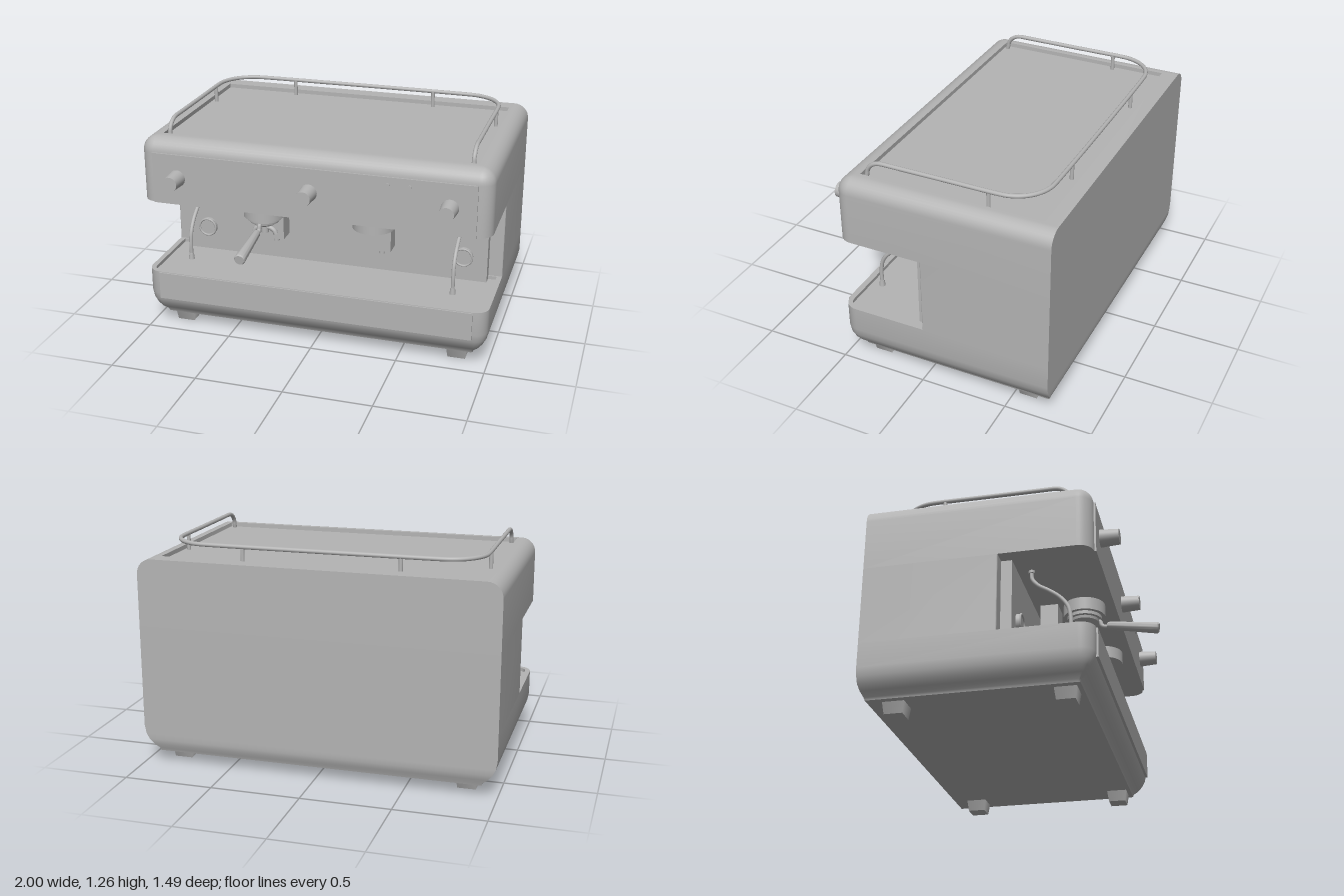
import * as THREE from 'three';
import { toCreasedNormals } from 'three/addons/utils/BufferGeometryUtils.js';

const steel = new THREE.MeshStandardMaterial({ color: 0xb4b4b4 });
steel.name = 'steel grey';

function add(parent, name, geometry, x = 0, y = 0, z = 0) {
  const mesh = new THREE.Mesh(geometry, steel);
  mesh.name = name;
  mesh.position.set(x, y, z);
  parent.add(mesh);
  return mesh;
}

// Box given by its limits
function block(parent, name, x0, x1, y0, y1, z0, z1) {
  return add(parent, name, new THREE.BoxGeometry(x1 - x0, y1 - y0, z1 - z0),
    (x0 + x1) / 2, (y0 + y1) / 2, (z0 + z1) / 2);
}

// Upright cylinder between two heights
function post(parent, name, x, z, y0, y1, r0, r1 = r0) {
  return add(parent, name, new THREE.CylinderGeometry(r1, r0, y1 - y0, 32), x, (y0 + y1) / 2, z);
}

// Cylinder lying along z
function dial(parent, name, x, y, z0, z1, r0, r1 = r0) {
  const g = new THREE.CylinderGeometry(r1, r0, z1 - z0, 40).rotateX(Math.PI / 2);
  return add(parent, name, g, x, y, (z0 + z1) / 2);
}

function tube(parent, name, points, radius, segments = 48) {
  const curve = new THREE.CatmullRomCurve3(points.map(p => new THREE.Vector3(...p)), false, 'centripetal');
  return add(parent, name, new THREE.TubeGeometry(curve, segments, radius, 12));
}

// Level outline: square back corners, rounded front corners
function ring(y, hw, zFront, zBack, r) {
  const pts = [[-hw, y, zBack]];
  for (const side of [-1, 1]) {
    for (let i = 0; i <= 8; i++) {
      const a = (side < 0 ? i : 8 - i) / 8 * Math.PI / 2;
      pts.push([side * (hw - r + r * Math.cos(a)), y, zFront - r + r * Math.sin(a)]);
    }
  }
  pts.push([hw, y, zBack]);
  return pts;
}

// Skin through stacked rings, closed at both ends
function loft(rings) {
  const pos = [];
  const n = rings[0].length;
  const tri = (a, b, c) => pos.push(...a, ...b, ...c);
  const centre = r => [0, r[0][1], (r[0][2] + r[9][2]) / 2];
  const first = rings[0], last = rings[rings.length - 1];
  for (let j = 0; j < n; j++) {
    const k = (j + 1) % n;
    for (let i = 0; i < rings.length - 1; i++) {
      const lo = rings[i], hi = rings[i + 1];
      tri(lo[j], lo[k], hi[k]);
      tri(lo[j], hi[k], hi[j]);
    }
    tri(centre(first), first[k], first[j]);
    tri(centre(last), last[j], last[k]);
  }
  const g = new THREE.BufferGeometry();
  g.setAttribute('position', new THREE.Float32BufferAttribute(pos, 3));
  return toCreasedNormals(g, 0.6);
}

const FRONT = 0.488, BACK = -0.745;
const inset = (y, d, back = 0) => ring(y, 1 - d, FRONT - d, BACK + back, Math.max(0.08 - d, 0.012));

function buildBody(parent) {
  const body = new THREE.Group();
  body.name = 'body';
  parent.add(body);

  // Base with curved underside and a sunken drip tray
  add(body, 'base', loft([
    inset(0.065, 0.085, 0.025), inset(0.08, 0.08, 0.02), inset(0.105, 0.052, 0.008),
    inset(0.135, 0.027), inset(0.17, 0.009), inset(0.215, 0), inset(0.355, 0),
    ring(0.355, 0.97, 0.462, 0, 0.05), ring(0.335, 0.97, 0.462, 0, 0.05),
  ]));
  add(body, 'rearHousing', loft([ring(0.355, 1, -0.01, BACK, 0.005), ring(0.795, 1, -0.01, BACK, 0.005)]));

  // Upper housing with rounded shoulders and a sunken cup shelf
  const R = 0.085;
  const upper = [inset(0.795, 0)];
  for (let i = 0; i <= 8; i++) {
    const a = i / 8 * Math.PI / 2;
    upper.push(inset(1.172 - R + R * Math.sin(a), R - R * Math.cos(a)));
  }
  upper.push(ring(1.172, 0.895, 0.38, -0.65, 0.005), ring(1.148, 0.895, 0.38, -0.65, 0.005));
  add(body, 'upperHousing', loft(upper));

  block(body, 'controlPanel', -0.92, 0.92, 0.795, 1.09, 0.47, 0.498);
  block(body, 'lowerPanel', -0.92, 0.92, 0.19, 0.352, 0.47, 0.498);
  block(body, 'backsplash', -0.92, 0.92, 0.33, 0.797, -0.02, 0.05);

  // Tapered square feet
  for (const x of [-0.82, 0.82]) for (const z of [0.32, -0.58]) {
    const g = new THREE.CylinderGeometry(0.06 * Math.SQRT2, 0.05 * Math.SQRT2, 0.07, 4, 1).rotateY(Math.PI / 4);
    add(body, 'foot', g.toNonIndexed(), x, 0.035, z);
  }
}

function buildControls(parent) {
  for (const x of [-0.775, -0.005, 0.775]) {
    dial(parent, 'knob', x, 0.953, 0.49, 0.603, 0.049, 0.042);
  }
  for (const x of [0.435, 0.557]) dial(parent, 'indicator', x, 1.045, 0.49, 0.506, 0.011);
  // Round gauges on the backsplash
  for (const x of [-0.783, 0.783]) {
    dial(parent, 'gauge', x, 0.485, 0.04, 0.072, 0.054);
    add(parent, 'gaugeRim', new THREE.TorusGeometry(0.051, 0.006, 10, 40), x, 0.485, 0.074);
  }
}

function buildBrewGroup(parent, x) {
  const group = new THREE.Group();
  group.name = 'brewGroup';
  group.position.x = x;
  parent.add(group);
  post(group, 'brewHead', 0, 0.327, 0.722, 0.797, 0.118);
  block(group, 'brewSupport', -0.064, 0.064, 0.515, 0.797, 0.085, 0.187);
  post(group, 'supportNozzle', 0, 0.13, 0.48, 0.515, 0.018);
  return group;
}

function buildPortafilter(group) {
  const z = 0.327;
  const profile = [[0, 0.665], [0.055, 0.668], [0.082, 0.685], [0.085, 0.7], [0.098, 0.703], [0.098, 0.723]];
  const basket = new THREE.LatheGeometry(profile.map(p => new THREE.Vector2(...p)), 40);
  add(group, 'filterBasket', toCreasedNormals(basket, 0.6), 0, 0, z);
  // Twin spout
  post(group, 'spoutStem', 0, z, 0.615, 0.67, 0.022);
  for (const s of [-1, 1]) {
    tube(group, 'spout', [[0, 0.645, z], [s * 0.03, 0.645, z], [s * 0.055, 0.63, z], [s * 0.066, 0.608, z]], 0.014, 16);
  }
  // Neck and tapered handle
  tube(group, 'handleNeck', [[0, 0.695, 0.4], [0, 0.69, 0.415], [0, 0.665, 0.425], [0, 0.656, 0.445], [0, 0.66, 0.47]], 0.012, 20);
  const grip = [[0, 0], [0.017, 0], [0.022, 0.012], [0.031, 0.25], [0.032, 0.283], [0.027, 0.291], [0, 0.291]];
  const g = new THREE.LatheGeometry(grip.map(p => new THREE.Vector2(...p)), 28);
  const handle = add(group, 'handle', toCreasedNormals(g, 0.6), 0, 0.662, 0.455);
  handle.rotation.x = Math.PI / 2 + 0.155;
}

function buildSteamWand(parent, side, dz) {
  const x = side * 0.782;
  tube(parent, 'steamWand', [
    [x, 0.8, 0.125], [x, 0.745, 0.128], [x, 0.705, 0.16], [x, 0.665, 0.235 + dz / 2],
    [x, 0.62, 0.305 + dz], [x, 0.56, 0.347 + dz], [x, 0.49, 0.36 + dz], [x, 0.42, 0.36 + dz],
  ], 0.011);
  post(parent, 'wandTip', x, 0.36 + dz, 0.39, 0.428, 0.017, 0.013);
  post(parent, 'wandJoint', x, 0.125, 0.78, 0.797, 0.017);
}

function buildRail(parent) {
  const rail = new THREE.Group();
  rail.name = 'cupRail';
  parent.add(rail);
  const X = 0.866, Y = 1.243, Z = -0.615, R = 0.21;
  // One half: rising front end, straight side, rounded rear corner
  const half = [[X, 1.145, 0.36]];
  for (let i = 0; i <= 6; i++) {
    const a = i / 6 * Math.PI / 2;
    half.push([X, Y - 0.075 + 0.075 * Math.sin(a), 0.265 + 0.09 * Math.cos(a)]);
  }
  half.push([X, Y, 0.2], [X, Y, -0.1]);
  for (let i = 0; i <= 8; i++) {
    const a = i / 8 * Math.PI / 2;
    half.push([X - R + R * Math.cos(a), Y, Z + R - R * Math.sin(a)]);
  }
  const other = half.map(([x, y, z]) => [-x, y, z]).reverse();
  tube(rail, 'railTube', [...half, ...other], 0.012, 220);
  for (const [x, z] of [[X, -0.345], [-X, -0.345], [-0.44, Z], [0.435, Z]]) {
    post(rail, 'railPost', x, z, 1.145, Y, 0.011);
  }
}

export function createModel() {
  const model = new THREE.Group();
  model.name = 'espressoMachine';
  buildBody(model);
  buildControls(model);
  buildPortafilter(buildBrewGroup(model, -0.322));
  buildBrewGroup(model, 0.32);
  // Hot water outlet
  post(model, 'waterStem', -0.003, 0.225, 0.77, 0.797, 0.02);
  post(model, 'waterOutlet', -0.003, 0.225, 0.712, 0.778, 0.03);
  buildSteamWand(model, 1, 0);
  buildSteamWand(model, -1, -0.026);
  buildRail(model);
  return model;
}
